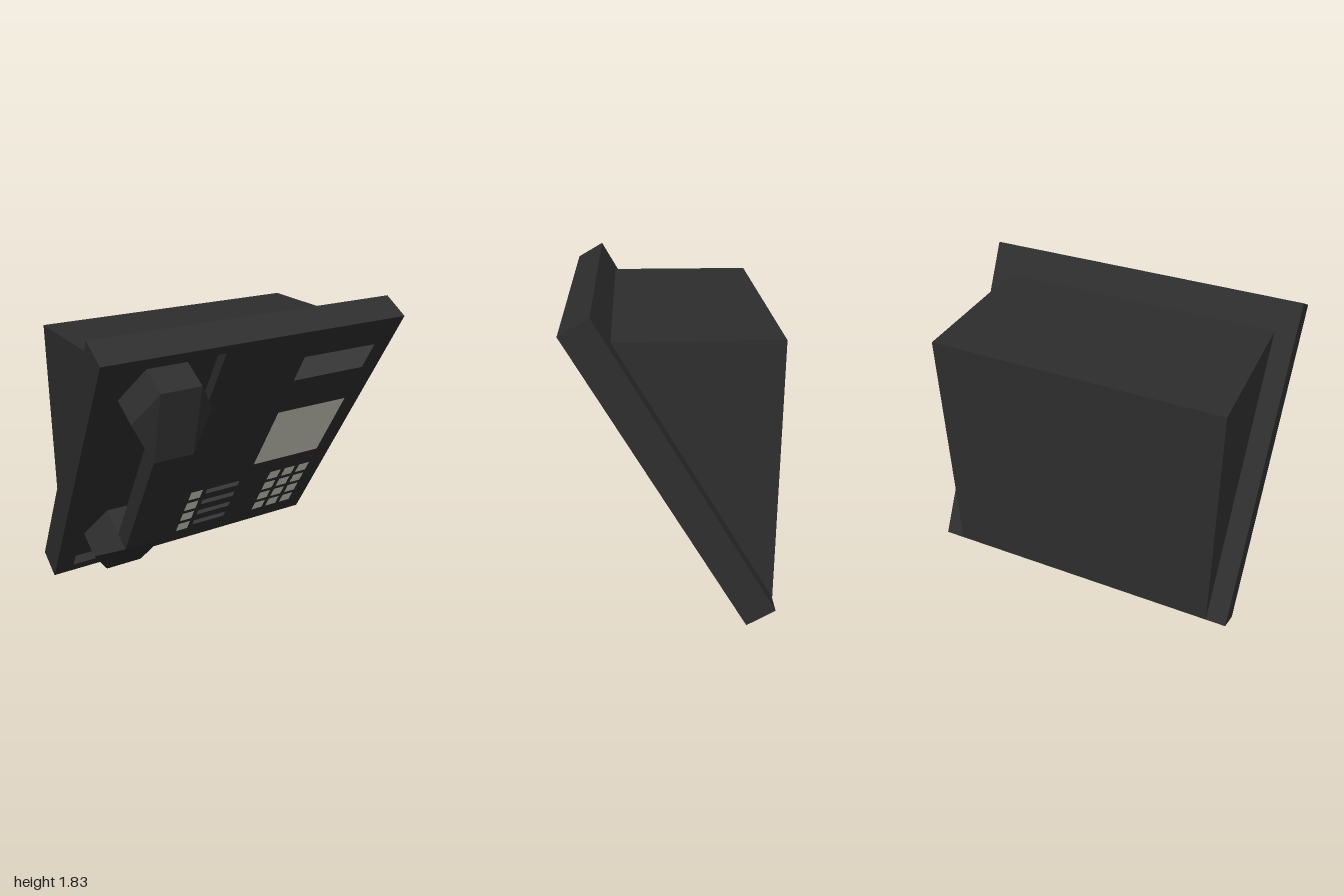
import * as THREE from 'three';

const material = (color, side = THREE.FrontSide) =>
  new THREE.MeshStandardMaterial({ color, flatShading: true, side });
const black = material(0x2e2e2e);
const cream = material(0xd4d4c6, THREE.DoubleSide);
const grey = material(0x6c6c6c, THREE.DoubleSide);
const red = material(0xa01818, THREE.DoubleSide);

function add(parent, name, geometry, mat, x = 0, y = 0, z = 0) {
  const mesh = new THREE.Mesh(geometry, mat);
  mesh.name = name;
  mesh.position.set(x, y, z);
  parent.add(mesh);
  return mesh;
}

// Box given by its limits
function addBox(parent, name, mat, [x0, x1], [y0, y1], [z0, z1]) {
  return add(parent, name, new THREE.BoxGeometry(x1 - x0, y1 - y0, z1 - z0), mat,
    (x0 + x1) / 2, (y0 + y1) / 2, (z0 + z1) / 2);
}

// Flat marking lying just above the panel face
function addLabel(parent, name, mat, [x0, x1], [y0, y1]) {
  return add(parent, name, new THREE.PlaneGeometry(x1 - x0, y1 - y0), mat,
    (x0 + x1) / 2, (y0 + y1) / 2, 0.003);
}

// Hexagonal end of the handset, highest where it meets the grip
function headGeometry(base) {
  const ring = [
    [0.125, 0.215, 0.123], [-0.125, 0.215, 0.123], [-0.25, 0, 0.121],
    [-0.125, -0.215, 0.247], [0.125, -0.215, 0.247], [0.25, 0, 0.121],
  ];
  const low = ring.map(([x, y]) => [x, y, base]);
  const corners = [];
  for (const face of [[0, 1, 3], [0, 3, 4], [1, 2, 3], [0, 4, 5]]) {
    corners.push(...face.map((i) => ring[i]));
  }
  for (let i = 0; i < 6; i++) {
    const j = (i + 1) % 6;
    corners.push(low[i], low[j], ring[j], low[i], ring[j], ring[i]);
  }
  for (let i = 1; i < 5; i++) corners.push(low[0], low[i + 1], low[i]);
  const geometry = new THREE.BufferGeometry();
  geometry.setAttribute('position', new THREE.Float32BufferAttribute(corners.flat(), 3));
  geometry.computeVertexNormals();
  return geometry;
}

export function createModel() {
  const model = new THREE.Group();
  model.name = 'wallTelephone';

  // Wedge-shaped housing behind the panel
  const wedge = new THREE.Shape([
    new THREE.Vector2(0.6, 0.098), new THREE.Vector2(0.6, 1.665), new THREE.Vector2(-0.306, 1.665),
  ]);
  const housing = new THREE.ExtrudeGeometry(wedge, { depth: 1.75, bevelEnabled: false });
  housing.translate(0, 0, -0.875).rotateY(Math.PI / 2);
  add(model, 'housing', housing, black);

  // Tilted front panel: local y runs up its face, local z points out of it
  const panel = new THREE.Group();
  panel.name = 'frontPanel';
  panel.position.z = -0.435;
  panel.rotation.x = Math.PI / 6;
  model.add(panel);

  const recess = 0.06;
  const face = new THREE.Shape([[-1, 0], [1, 0], [1, 2], [-1, 2]].map((p) => new THREE.Vector2(...p)));
  face.holes.push(new THREE.Path(
    [[-0.875, 0.07], [-0.875, 1.94], [-0.25, 1.94], [-0.25, 0.07]].map((p) => new THREE.Vector2(...p))));
  add(panel, 'panelFace', new THREE.ExtrudeGeometry(face, { depth: recess, bevelEnabled: false }),
    black, 0, 0, -recess);
  addBox(panel, 'panelBack', black, [-1, 1], [0, 2], [-0.19, -recess]);

  // Handset resting in the recess
  const handset = new THREE.Group();
  handset.name = 'handset';
  handset.position.x = -0.563;
  panel.add(handset);
  const head = headGeometry(-recess);
  add(handset, 'earpiece', head, black, 0, 1.641);
  add(handset, 'mouthpiece', head, black, 0, 0.332).rotation.z = Math.PI;
  addBox(handset, 'grip', black, [-0.125, 0.125], [0.547, 1.426], [0.129, 0.247]);

  // Display and screen
  addLabel(panel, 'display', grey, [0.335, 0.87], [1.588, 1.79]);
  addLabel(panel, 'screen', cream, [0.335, 0.87], [0.756, 1.293]);

  // Keypad, side keys and their label strips
  for (let row = 0; row < 4; row++) {
    const y = 0.135 + row * 0.125;
    for (let column = 0; column < 3; column++) {
      const x = 0.53 + column * 0.125;
      addLabel(panel, 'keypadKey', cream, [x, x + 0.09], [y, y + 0.09]);
    }
    addLabel(panel, 'sideKey', cream, [-0.11, -0.02], [y, y + 0.09]);
    addLabel(panel, 'labelStrip', grey, [0.015, 0.275], [y + 0.03, y + 0.082]);
  }

  // Small triangular lamp
  const lamp = new THREE.Shape([[0.842, 0.684], [0.858, 0.656], [0.874, 0.684]].map((p) => new THREE.Vector2(...p)));
  add(panel, 'indicatorLamp', new THREE.ShapeGeometry(lamp), red, 0, 0, 0.003);

  return model;
}
